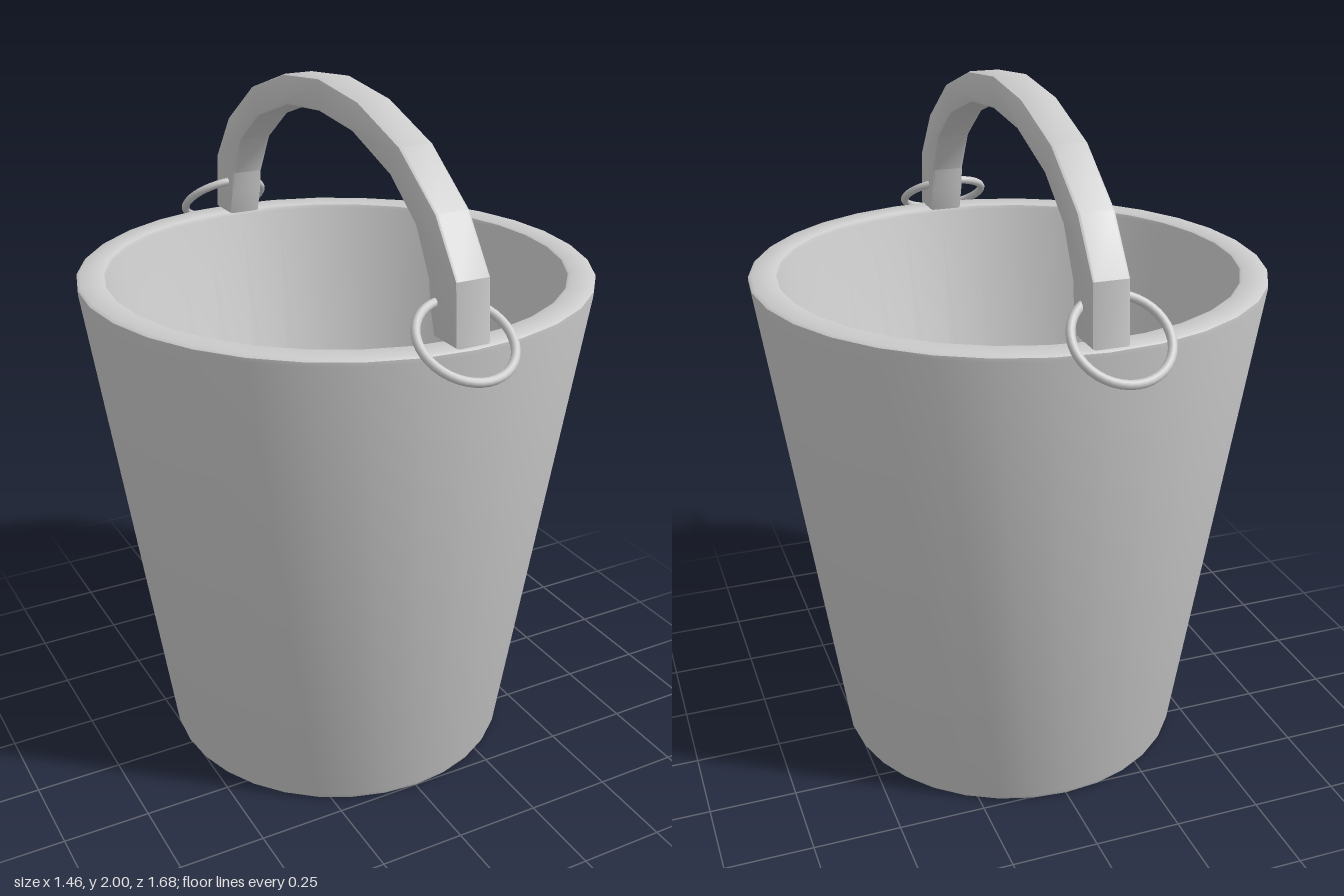
import * as THREE from 'three';
import { toCreasedNormals } from 'three/addons/utils/BufferGeometryUtils.js';

const material = new THREE.MeshStandardMaterial({ color: 0xcccccc });

function addPart(group, name, geometry) {
  const mesh = new THREE.Mesh(geometry, material);
  mesh.name = name;
  group.add(mesh);
  return mesh;
}

export function createModel() {
  const group = new THREE.Group();
  group.name = 'bucket';

  // Tapered hollow body: underside, outer wall, rim, inner wall, floor
  const profile = [
    [0, 0], [0.5, 0], [0.511, 0.004], [0.516, 0.016],
    [0.729, 1.455], [0.729, 1.466], [0.72, 1.472],
    [0.66, 1.472], [0.652, 1.468], [0.648, 1.458],
    [0.457, 0.1], [0.45, 0.088], [0.438, 0.084], [0, 0.084],
  ].map(([r, y]) => new THREE.Vector2(r, y));
  const body = addPart(group, 'body', toCreasedNormals(new THREE.LatheGeometry(profile, 32), 0.7));
  body.position.z = -0.007;

  // Arched handle: half outline (z, y) mirrored front to back, extruded across x
  const outer = [[0.725, 1.474], [0.712, 1.64], [0.61, 1.78], [0.432, 1.905], [0.217, 1.977]];
  const inner = [[0.19, 1.895], [0.39, 1.826], [0.52, 1.73], [0.587, 1.61], [0.595, 1.545], [0.617, 1.474]];
  const mirror = (points) => points.map(([z, y]) => [-z, y]).reverse();
  const outline = [...mirror(outer).reverse(), [0, 2], ...outer.slice().reverse(),
    ...inner.slice().reverse(), [0, 1.913], ...mirror(inner).reverse()];
  const bevel = 0.008;
  const handleGeometry = new THREE.ExtrudeGeometry(
    new THREE.Shape(outline.map(([z, y]) => new THREE.Vector2(z, y))),
    { depth: 0.1 - 2 * bevel, bevelSize: bevel, bevelThickness: bevel, bevelOffset: -bevel, bevelSegments: 2 });
  handleGeometry.rotateY(-Math.PI / 2);
  const handle = addPart(group, 'handle', toCreasedNormals(handleGeometry, 0.45));
  handle.position.set(0.045 - bevel, 0, -0.007);

  // Loose rings through the handle ends, each hanging outward
  for (const [name, z, tilt] of [['frontRing', 0.72, -1.0], ['backRing', -0.732, 0.885]]) {
    const ring = addPart(group, name, new THREE.TorusGeometry(0.127, 0.012, 12, 40));
    ring.position.set(-0.03, 1.496, z);
    ring.rotation.x = tilt;
  }
  return group;
}
